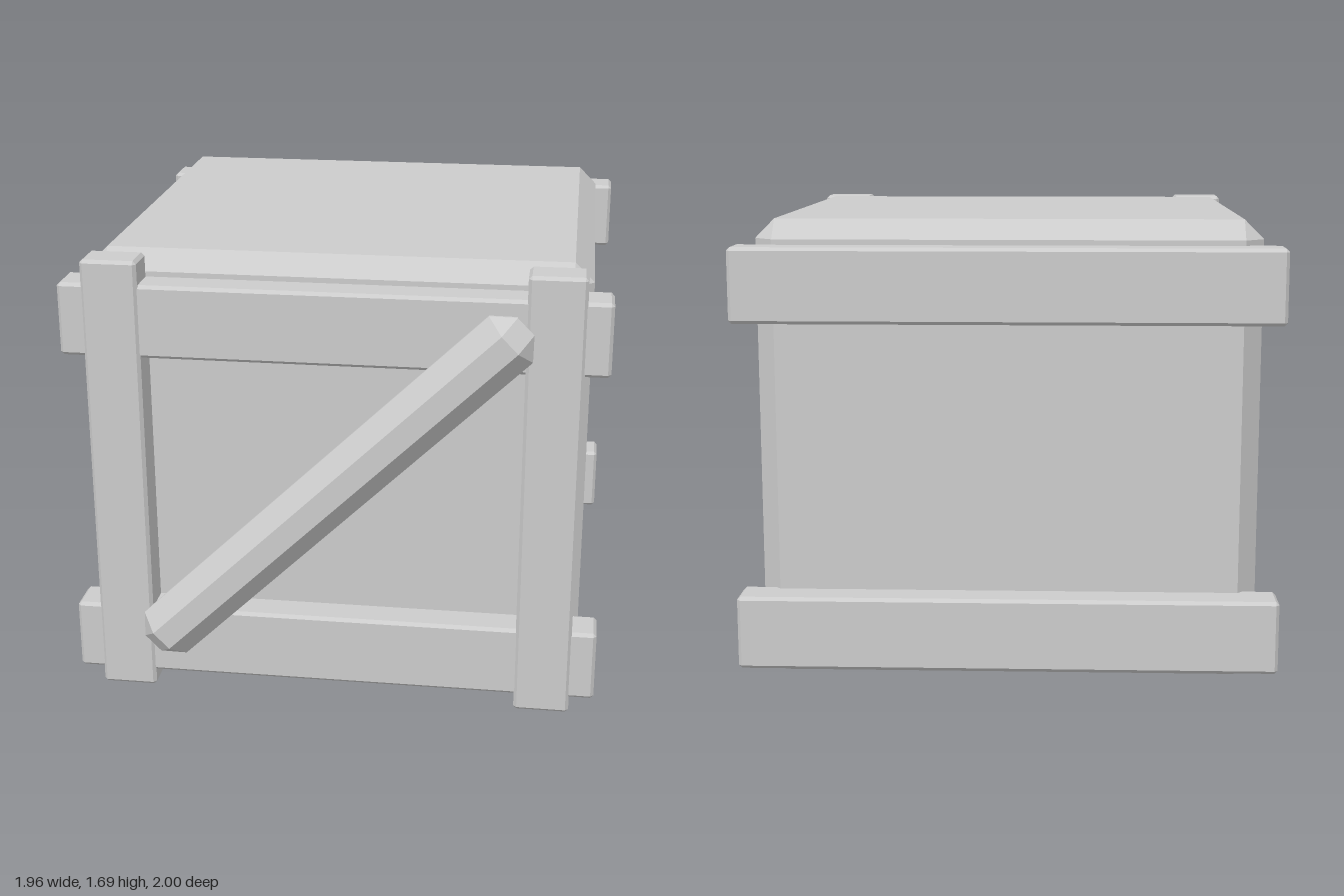
import * as THREE from 'three';
import { ConvexGeometry } from 'three/addons/geometries/ConvexGeometry.js';

const material = new THREE.MeshStandardMaterial({ color: 0xcccccc, flatShading: true });

// Box with flat 45 degree chamfers on all edges, centred on its origin
function chamferBox(name, w, h, d, c) {
  const half = [w / 2, h / 2, d / 2];
  const points = [];
  for (const sx of [-1, 1]) for (const sy of [-1, 1]) for (const sz of [-1, 1]) {
    for (let axis = 0; axis < 3; axis++) {
      const [x, y, z] = half.map((v, i) => (i === axis ? v : v - c));
      points.push(new THREE.Vector3(sx * x, sy * y, sz * z));
    }
  }
  const mesh = new THREE.Mesh(new ConvexGeometry(points), material);
  mesh.name = name;
  return mesh;
}

export function createModel() {
  const crate = new THREE.Group();
  crate.name = 'crate';
  const add = (mesh, x, y, z) => {
    mesh.position.set(x, y, z);
    crate.add(mesh);
    return mesh;
  };

  // Main block
  add(chamferBox('body', 1.82, 1.69, 1.68, 0.07), 0, 0.845, -0.04);

  // Horizontal rails, upper and lower, on front and back
  for (const [side, z] of [['front', 0.845], ['back', -0.925]]) {
    add(chamferBox(side + 'UpperRail', 1.96, 0.27, 0.15, 0.012), 0, 1.466, z);
    add(chamferBox(side + 'LowerRail', 1.96, 0.27, 0.15, 0.012), 0, 0.2, z);
  }

  // Upright posts on the front
  for (const [name, s] of [['leftPost', 1], ['rightPost', -1]]) {
    add(chamferBox(name, 0.205, 1.685, 0.14, 0.012), s * 0.787, 0.8475, 0.86);
  }

  // Diagonal brace across the front
  const brace = add(chamferBox('diagonalBrace', 1.905, 0.225, 0.15, 0.07), -0.003, 0.85, 0.925);
  brace.rotation.z = THREE.MathUtils.degToRad(44);

  return crate;
}
